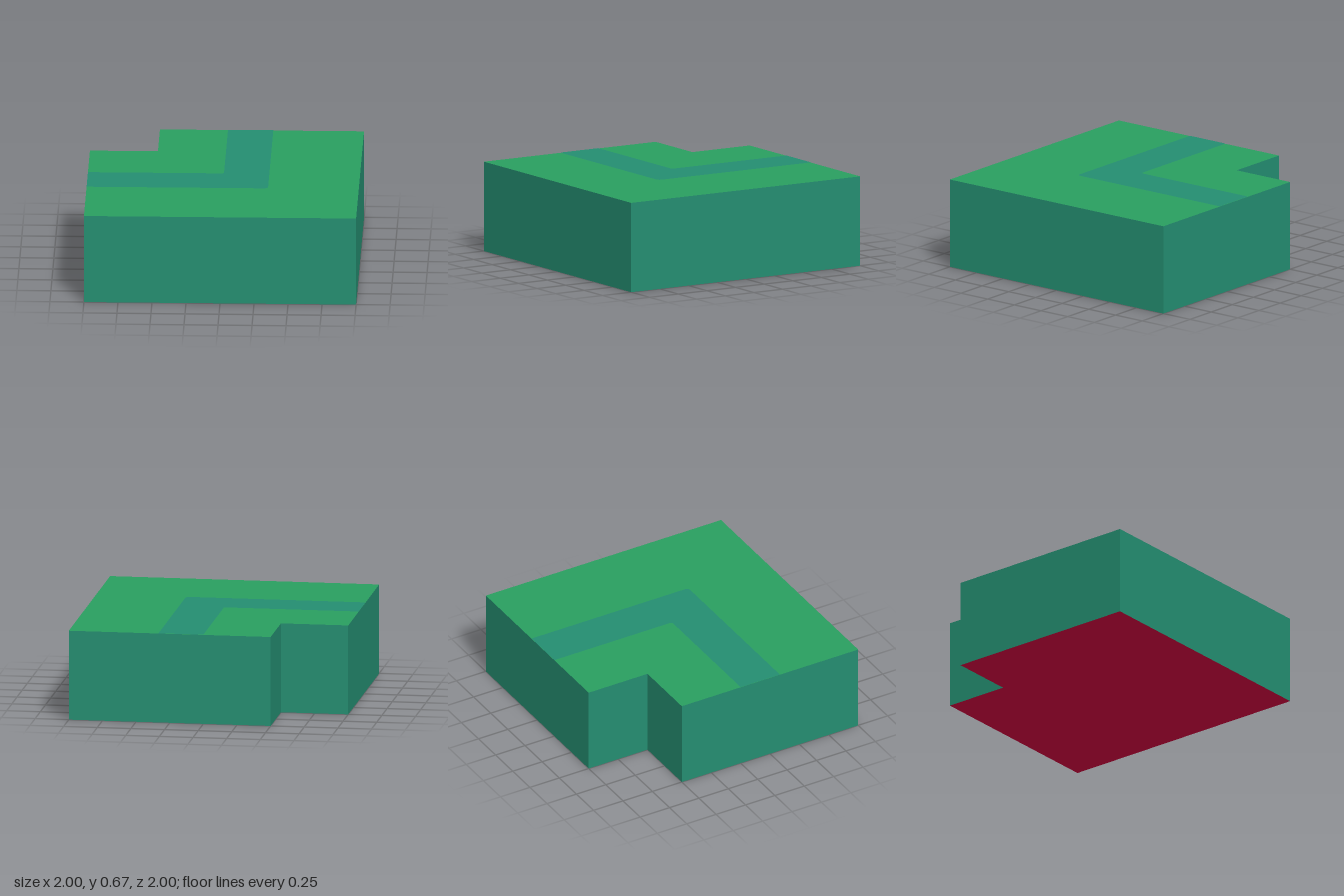
import * as THREE from 'three';

const HEIGHT = 0.669;
const PAINT = 0.002; // lift of the painted path above the top face

const material = (name, color) => {
  const m = new THREE.MeshStandardMaterial({ color });
  m.name = name;
  return m;
};

export function createModel() {
  const grass = material('grassGreen', 0x2a9f60);
  const teal = material('tealGreen', 0x248e71);
  const crimson = material('crimson', 0xdd0042);
  const model = new THREE.Group();
  model.name = 'cornerTile';

  // Plan outlines are drawn as (x, -z): a square with its back right corner cut out
  const outline = new THREE.Shape([
    [-1, -1], [1, -1], [1, 1], [-0.5, 1], [-0.5, 0.5], [-1, 0.5],
  ].map(([x, y]) => new THREE.Vector2(x, y)));

  // Block: crimson underside, green top, teal walls
  const geometry = new THREE.ExtrudeGeometry(outline, { depth: HEIGHT - PAINT, bevelEnabled: false });
  geometry.rotateX(-Math.PI / 2);
  const [caps, walls] = geometry.groups.map((g) => ({ ...g }));
  const half = caps.count / 2; // lower cap comes first, then the upper cap
  geometry.clearGroups();
  geometry.addGroup(caps.start, half, 0);
  geometry.addGroup(caps.start + half, half, 1);
  geometry.addGroup(walls.start, walls.count, 2);
  const block = new THREE.Mesh(geometry, [crimson, grass, teal]);
  block.name = 'block';
  model.add(block);

  // Painted path turning the corner, with softly rounded bends
  const path = new THREE.Shape();
  const w = 1 / 3, r = 0.035, q = 0.02;
  path.moveTo(-1, -w);
  path.lineTo(w - r, -w);
  path.quadraticCurveTo(w, -w, w, -w + r);
  path.lineTo(w, 1);
  path.lineTo(0, 1);
  path.lineTo(0, q);
  path.quadraticCurveTo(0, 0, -q, 0);
  path.lineTo(-1, 0);
  path.closePath();
  const stripe = new THREE.Mesh(new THREE.ShapeGeometry(path, 6).rotateX(-Math.PI / 2), teal);
  stripe.name = 'pathStripe';
  stripe.position.y = HEIGHT;
  model.add(stripe);

  return model;
}
